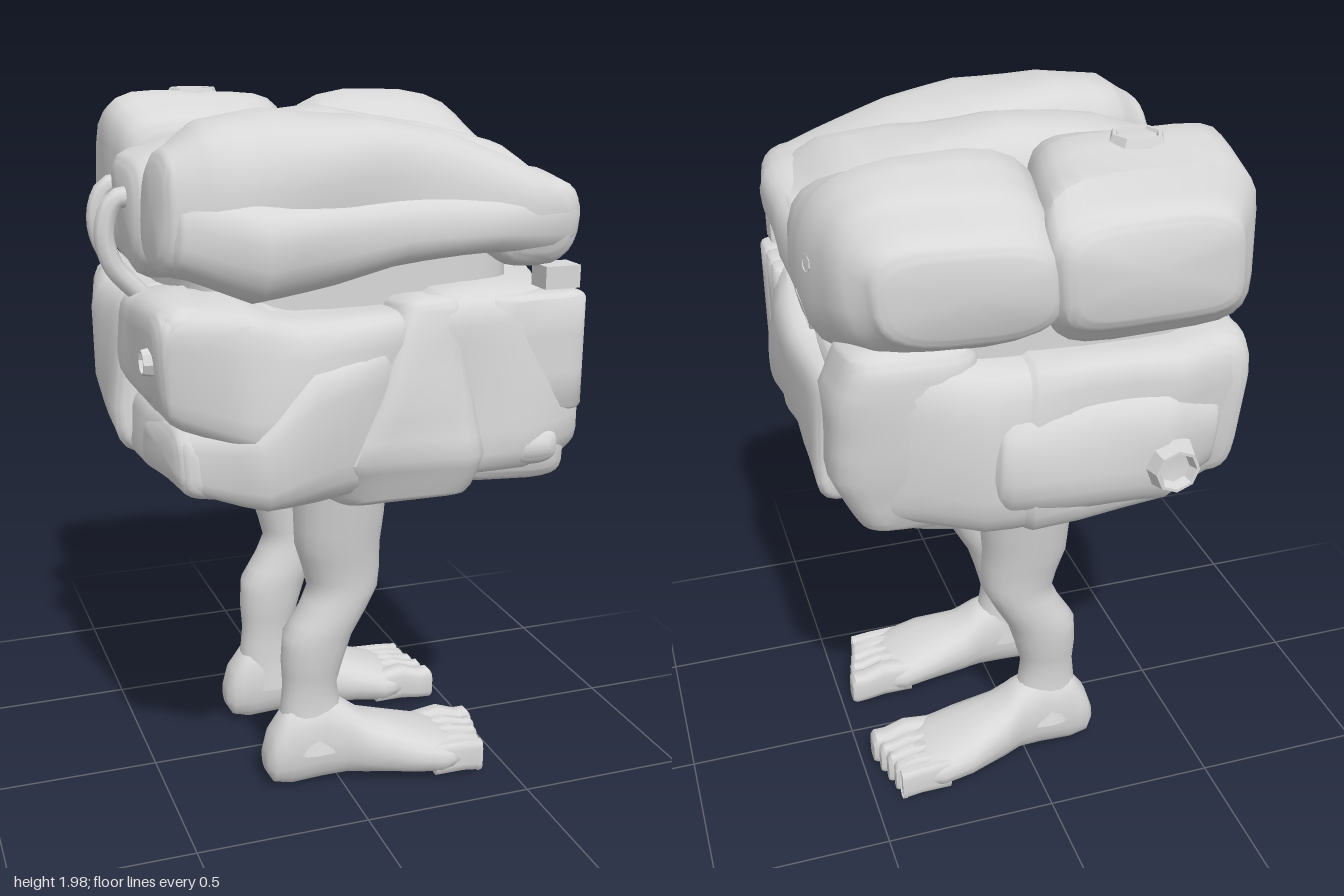
import * as THREE from 'three';
import { toCreasedNormals } from 'three/addons/utils/BufferGeometryUtils.js';

const stone = new THREE.MeshStandardMaterial({ color: 0xd8d8d8, side: THREE.DoubleSide });
stone.name = 'pale grey';

// Skin through squared-off rings. rows: [t, u0, u1, v0, v1] along an axis:
// x -> (u, v) = (y, z);  y -> (x, z);  z -> (x, y)
function loft(axis, rows, { power = 4, sides = 24, rough = 0, round = 0, steps = 3, crease = 0.8 } = {}) {
  const inset = (r, t, d) => [t, r[1] + d, r[2] - d, r[3] + d, r[4] - d];
  let list = rows;
  if (round) {
    const a = rows[0], b = rows[rows.length - 1];
    list = [inset(a, a[0], round), inset(a, a[0] + round * 0.35, round * 0.35), inset(a, a[0] + round, 0), ...rows.slice(1, -1),
      inset(b, b[0] - round, 0), inset(b, b[0] - round * 0.35, round * 0.35), inset(b, b[0], round)];
  }
  const full = [];
  list.forEach((r, i) => {
    if (i === list.length - 1) return full.push(r);
    for (let s = 0; s < steps; s++) full.push(r.map((v, k) => v + (list[i + 1][k] - v) * s / steps));
  });
  const pos = [], idx = [];
  const put = (t, u, v) => {
    const [x, y, z] = axis === 'x' ? [t, u, v] : axis === 'y' ? [u, t, v] : [u, v, t];
    pos.push(x + rough * Math.sin(9 * y + 7 * z + 1), y + rough * 0.8 * Math.sin(8 * x + 9 * z + 2),
      z + rough * Math.sin(8 * x - 10 * y + 3));
  };
  const bend = c => Math.sign(c) * Math.pow(Math.abs(c), 2 / power);
  for (const [t, u0, u1, v0, v1] of full)
    for (let j = 0; j < sides; j++) {
      const a = (j + 0.5) / sides * Math.PI * 2;
      put(t, (u0 + u1) / 2 + bend(Math.cos(a)) * (u1 - u0) / 2, (v0 + v1) / 2 + bend(Math.sin(a)) * (v1 - v0) / 2);
    }
  const tri = (a, b, c) => axis === 'y' ? idx.push(a, c, b) : idx.push(a, b, c);
  for (let i = 0; i < full.length - 1; i++)
    for (let j = 0; j < sides; j++) {
      const a = i * sides + j, b = i * sides + (j + 1) % sides;
      tri(a, b, a + sides); tri(b, b + sides, a + sides);
    }
  for (const i of [0, full.length - 1]) {
    const [t, u0, u1, v0, v1] = full[i], c = pos.length / 3;
    put(t, (u0 + u1) / 2, (v0 + v1) / 2);
    for (let j = 0; j < sides; j++) {
      const a = i * sides + j, b = i * sides + (j + 1) % sides;
      i ? tri(a, b, c) : tri(b, a, c);
    }
  }
  const g = new THREE.BufferGeometry();
  g.setAttribute('position', new THREE.Float32BufferAttribute(pos, 3));
  g.setIndex(idx);
  return toCreasedNormals(g, crease);
}

function add(parent, name, geometry) {
  const m = new THREE.Mesh(geometry, stone);
  m.name = name;
  parent.add(m);
  return m;
}

// Eight-sided dished rim that opens along the given direction
function crater(parent, name, at, dir, r, h) {
  const pts = [[r * 1.4, -0.03], [r * 1.1, h], [r * 0.95, h], [r * 0.75, h - 0.025], [0, h - 0.03]];
  const g = new THREE.LatheGeometry(pts.map(p => new THREE.Vector2(...p)), 8);
  const m = add(parent, name, toCreasedNormals(g, 0.5));
  m.position.set(...at);
  m.quaternion.setFromUnitVectors(new THREE.Vector3(0, 1, 0), new THREE.Vector3(...dir).normalize());
}

function makeBase() {
  const g = new THREE.Group();
  g.name = 'base';
  const rock = { rough: 0.014, round: 0.04, power: 5 };
  add(g, 'baseCore', loft('y', [[1.0, -0.5, 0.5, -0.48, 0.5], [1.2, -0.53, 0.54, -0.5, 0.53], [1.47, -0.52, 0.54, -0.5, 0.52]], rock));
  add(g, 'innerFill', loft('y', [[1.4, -0.44, 0.46, -0.44, 0.42], [1.7, -0.44, 0.46, -0.44, 0.42]], { power: 6 }));
  // Front stones
  add(g, 'frontLeftUpperStone', loft('x', [[-0.55, 1.19, 1.5, 0.2, 0.52], [-0.35, 1.16, 1.53, 0.2, 0.61], [-0.2, 1.16, 1.49, 0.2, 0.59], [0.1, 1.18, 1.48, 0.2, 0.56]], rock));
  add(g, 'frontLeftLowerStone', loft('x', [[-0.54, 1.03, 1.2, 0.15, 0.51], [-0.33, 1.01, 1.25, 0.15, 0.62], [-0.18, 1.0, 1.39, 0.15, 0.61], [0.05, 1.0, 1.42, 0.15, 0.58]], rock));
  add(g, 'frontWedge', loft('y', [[0.97, -0.12, 0.26, 0.2, 0.57], [1.1, -0.13, 0.28, 0.2, 0.62], [1.25, -0.03, 0.27, 0.2, 0.61], [1.5, 0.06, 0.25, 0.2, 0.55]], { ...rock, round: 0.03 }));
  add(g, 'frontRightStone', loft('x', [[0.15, 1.0, 1.51, 0.15, 0.57], [0.4, 1.02, 1.52, 0.15, 0.57], [0.58, 1.05, 1.51, 0.15, 0.53]], rock));
  add(g, 'cornerLump', loft('z', [[0.3, 0.33, 0.52, 1.01, 1.16], [0.5, 0.34, 0.52, 1.02, 1.16], [0.58, 0.36, 0.51, 1.04, 1.15]], { power: 3, round: 0.04 }));
  // Right side stones
  [[0.265, 0.36], [0.33, 0.45], [0.42, 0.55]].forEach(([a, b]) =>
    add(g, 'rightRib', loft('y', [[1.18, 0.3, 0.585, a, b], [1.5, 0.3, 0.585, a, b]], { power: 5, round: 0.015 })));
  add(g, 'rightLowerStone', loft('z', [[0.1, 0.2, 0.58, 1.0, 1.26], [0.3, 0.2, 0.58, 1.0, 1.22], [0.53, 0.2, 0.54, 0.99, 1.16]], rock));
  add(g, 'rightMiddleStone', loft('z', [[-0.25, 0.2, 0.59, 1.02, 1.43], [0.0, 0.2, 0.6, 1.01, 1.45], [0.27, 0.2, 0.6, 1.08, 1.53]], rock));
  add(g, 'rightBackStone', loft('y', [[1.02, 0.2, 0.51, -0.48, -0.2], [1.2, 0.2, 0.58, -0.5, -0.2], [1.42, 0.2, 0.59, -0.5, -0.2], [1.55, 0.2, 0.55, -0.5, -0.22]], { ...rock, power: 3.5 }));
  // Back and left side stones
  add(g, 'backRightStone', loft('x', [[-0.05, 1.04, 1.5, -0.57, -0.2], [0.2, 1.02, 1.5, -0.55, -0.2], [0.48, 1.05, 1.52, -0.49, -0.2]], rock));
  add(g, 'backLeftStone', loft('x', [[-0.53, 1.06, 1.48, -0.49, -0.2], [-0.3, 1.02, 1.48, -0.56, -0.2], [0.12, 1.02, 1.51, -0.57, -0.2]], rock));
  add(g, 'backBulge', loft('x', [[-0.45, 1.08, 1.34, -0.55, -0.3], [-0.27, 1.04, 1.39, -0.62, -0.3], [-0.08, 1.06, 1.41, -0.61, -0.3], [0.18, 1.08, 1.42, -0.58, -0.3]], { ...rock, power: 2.6 }));
  add(g, 'leftBackStone', loft('z', [[-0.5, -0.53, -0.2, 1.06, 1.48], [-0.22, -0.58, -0.2, 1.06, 1.47], [0.08, -0.58, -0.2, 1.03, 1.5]], rock));
  add(g, 'leftFrontUpperStone', loft('z', [[0.0, -0.58, -0.2, 1.24, 1.5], [0.25, -0.57, -0.2, 1.2, 1.52], [0.52, -0.54, -0.2, 1.22, 1.51]], rock));
  add(g, 'leftFrontLowerStone', loft('z', [[0.0, -0.54, -0.2, 1.02, 1.24], [0.52, -0.53, -0.2, 1.02, 1.2]], rock));
  crater(g, 'backSpout', [-0.27, 1.2, -0.615], [0, 0, -1], 0.055, 0.03);
  crater(g, 'leftSideHole', [-0.565, 1.36, 0.36], [-1, 0, 0], 0.03, 0.012);
  return g;
}

function makeLid() {
  const g = new THREE.Group();
  g.name = 'lid';
  const rock = { rough: 0.01, round: 0.045, power: 3.8 };
  add(g, 'frontRoll', loft('x', [[-0.54, 1.57, 1.89, 0.22, 0.5], [-0.42, 1.55, 1.94, 0.16, 0.53], [-0.25, 1.54, 1.97, 0.12, 0.55],
    [0, 1.58, 1.96, 0.12, 0.55], [0.2, 1.6, 1.91, 0.18, 0.55], [0.4, 1.6, 1.83, 0.3, 0.55], [0.55, 1.6, 1.79, 0.36, 0.53]], { ...rock, power: 2.9 }));
  add(g, 'frontLip', loft('x', [[-0.52, 1.57, 1.8, 0.2, 0.52], [-0.32, 1.52, 1.79, 0.2, 0.61], [-0.1, 1.55, 1.78, 0.2, 0.59], [0.05, 1.58, 1.78, 0.2, 0.585],
    [0.3, 1.6, 1.78, 0.2, 0.57], [0.56, 1.58, 1.79, 0.2, 0.53]], { ...rock, power: 2.8, round: 0.04 }));
  add(g, 'middleRoll', loft('x', [[-0.54, 1.53, 1.86, -0.14, 0.23], [-0.3, 1.5, 1.92, -0.14, 0.2], [0, 1.5, 1.95, -0.14, 0.22],
    [0.25, 1.5, 1.92, -0.1, 0.32], [0.42, 1.53, 1.86, -0.08, 0.42], [0.58, 1.56, 1.77, -0.02, 0.48]], { ...rock, power: 3 }));
  add(g, 'rightArm', loft('z', [[-0.06, 0.3, 0.58, 1.52, 1.76], [0.12, 0.3, 0.6, 1.54, 1.77], [0.3, 0.3, 0.6, 1.59, 1.8], [0.53, 0.3, 0.56, 1.57, 1.8]], { ...rock, power: 3 }));
  add(g, 'backLeftBlock', loft('z', [[-0.58, -0.47, 0.04, 1.57, 1.87], [-0.48, -0.52, 0.04, 1.52, 1.95], [-0.25, -0.53, 0.01, 1.48, 1.985], [-0.07, -0.5, -0.02, 1.5, 1.94]], { ...rock, power: 4.5 }));
  add(g, 'backRightBlock', loft('z', [[-0.555, 0.0, 0.49, 1.57, 1.86], [-0.45, -0.01, 0.54, 1.53, 1.93], [-0.25, -0.03, 0.59, 1.46, 1.97], [0.02, -0.04, 0.59, 1.5, 1.88]], { ...rock, power: 3.2 }));
  crater(g, 'topHole', [-0.26, 1.977, -0.3], [0, 1, 0], 0.06, 0.01);
  crater(g, 'rightLargeHole', [0.575, 1.585, -0.2], [1, -0.25, 0], 0.052, 0.012);
  crater(g, 'rightSmallHole', [0.575, 1.74, -0.29], [1, 0.1, -0.2], 0.022, 0.012);
  return g;
}

function makeLeg(z, side) {
  const g = new THREE.Group();
  g.name = side > 0 ? 'frontLeg' : 'backLeg';
  // Shin rows: height, back, front, inward lean, half width
  const shin = [[0.12, -0.17, 0.03, 0.02, 0.08], [0.22, -0.17, 0.015, 0.028, 0.063], [0.32, -0.16, 0.0, 0.028, 0.064],
    [0.4, -0.165, 0.02, 0.026, 0.077], [0.48, -0.16, 0.045, 0.024, 0.085], [0.56, -0.11, 0.09, 0.022, 0.086],
    [0.62, -0.085, 0.12, 0.022, 0.086], [0.68, -0.1, 0.125, 0.02, 0.09], [0.76, -0.125, 0.122, 0.014, 0.1],
    [0.86, -0.13, 0.13, 0.008, 0.113], [1.05, -0.13, 0.13, 0, 0.14]];
  add(g, 'shin', loft('y', shin.map(([y, a, b, lean, w]) => [y, a, b, -side * lean - w, -side * lean + w]),
    { power: 2.2, sides: 18, steps: 2, crease: 1.5 }));
  // Foot rows: length, sole, top, inward lean, half width
  const foot = [[-0.22, 0.06, 0.13, 0.02, 0.035], [-0.2, 0.025, 0.19, 0.02, 0.06], [-0.15, 0.01, 0.26, 0.022, 0.07],
    [-0.05, 0.015, 0.28, 0.022, 0.073], [0.02, 0.02, 0.25, 0.02, 0.08], [0.08, 0.02, 0.205, 0.014, 0.1], [0.2, 0.02, 0.165, 0, 0.132],
    [0.29, 0.01, 0.135, 0, 0.136], [0.35, 0.02, 0.11, 0, 0.12]];
  add(g, 'foot', loft('x', foot.map(([x, a, b, lean, w]) => [x, a, b, -side * lean - w, -side * lean + w]),
    { power: 2.4, sides: 18, steps: 2, crease: 1.5 }));
  // Toes, the widest on the inner side
  let at = -0.123;
  [0.07, 0.047, 0.046, 0.044, 0.041].forEach((w, i) => {
    const a = Math.min(side * at, side * (at + w)), b = a + w - 0.004, tip = 0.465 - i * 0.012;
    add(g, 'toe', loft('x', [[0.27, 0.02, 0.12, a, b], [0.36, 0.02, 0.132 - i * 0.004, a, b], [0.42, 0.012, 0.11, a, b],
      [tip - 0.01, 0.01, 0.11, a, b], [tip, 0.015, 0.098, a + 0.006, b - 0.006]], { power: 4, sides: 12, steps: 1 }));
    at += w;
  });
  g.position.z = z;
  return g;
}

export function createModel() {
  const model = new THREE.Group();
  model.name = 'walkingStoneChest';
  model.add(makeBase(), makeLid(), makeLeg(0.243, 1), makeLeg(-0.23, -1));

  // Hinge hooks on the left end
  [[0.09, -0.605], [-0.18, -0.575]].forEach(([z, x]) => {
    const path = new THREE.CatmullRomCurve3([[0.09, 1.74], [0.03, 1.73], [0, 1.65], [0.02, 1.56], [0.09, 1.48]]
      .map(([dx, y]) => new THREE.Vector3(x + dx, y, z)));
    add(model, 'hingeHook', new THREE.TubeGeometry(path, 14, 0.028, 8));
  });
  // Clasp in the gap at the front corner
  const clasp = add(model, 'clasp', new THREE.BoxGeometry(0.1, 0.06, 0.08));
  clasp.position.set(0.51, 1.54, 0.49);
  return model;
}
